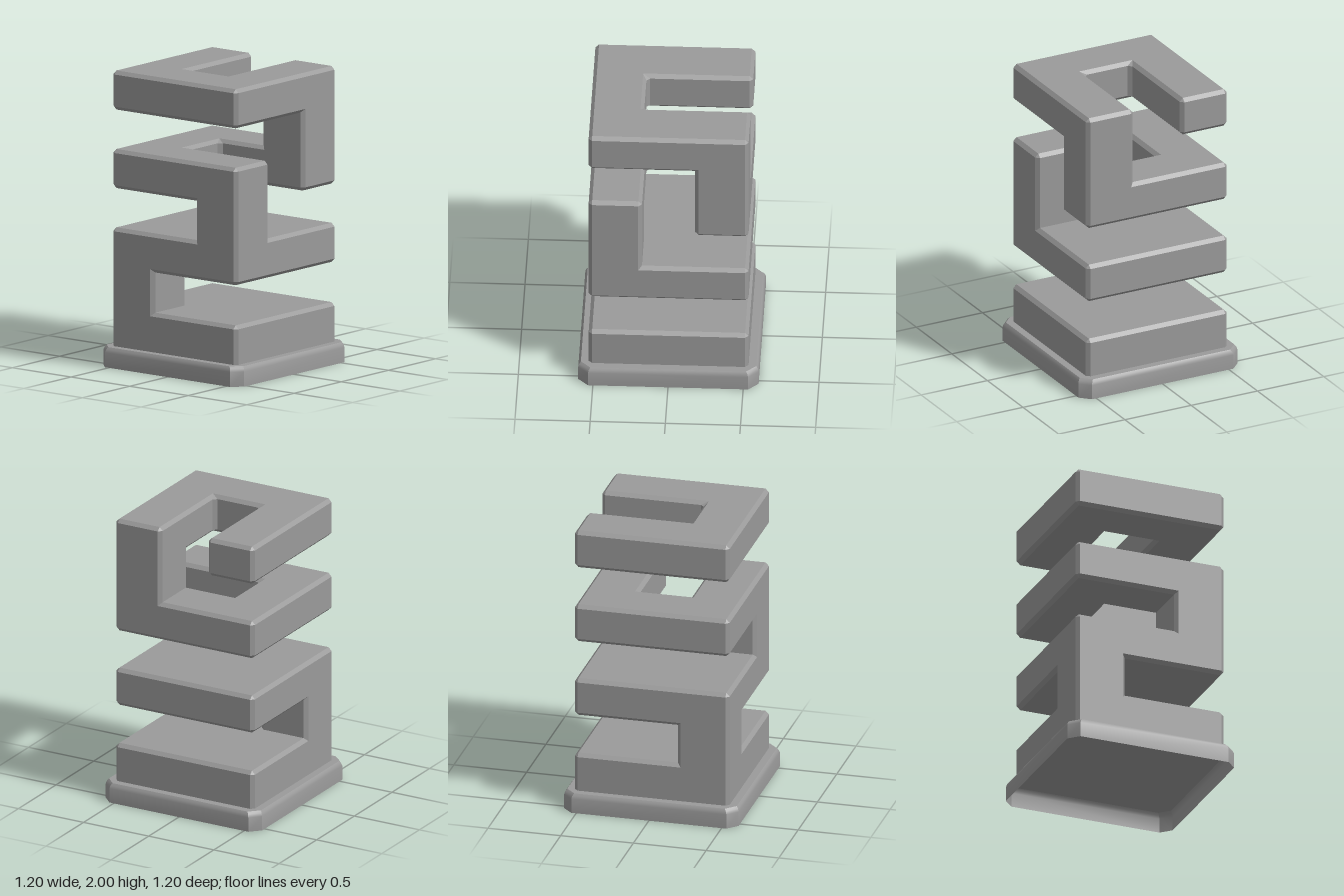
import * as THREE from 'three';
import { toCreasedNormals } from 'three/addons/utils/BufferGeometryUtils.js';

const W = 0.532;       // half width of the tower
const C = 0.177;       // half width of the middle third
const B = 0.024;       // chamfer
const H = 0.265;       // slab thickness
const BASE_TOP = 0.135;
const TOPS = [0.4, 0.937, 1.468, 2];

const material = new THREE.MeshStandardMaterial({ color: 0x9a9a9a });
const shellMaterial = new THREE.MeshStandardMaterial({ color: 0x9a9a9a, side: THREE.DoubleSide });

const rect = (x0, x1, z0, z1) => [[x0, z0], [x1, z0], [x1, z1], [x0, z1]];

// For each corner of a closed [x, z] outline: the corner and its unit directions to both neighbours
function cornersOf(points) {
  const v = points.map(p => new THREE.Vector2(...p));
  return v.map((p, i) => ({
    p,
    toPrev: v.at(i - 1).clone().sub(p).normalize(),
    toNext: v[(i + 1) % v.length].clone().sub(p).normalize(),
  }));
}

// Outline with every corner cut off
const cutCorners = (points, cut) => cornersOf(points).flatMap(({ p, toPrev, toNext }) =>
  [p.clone().addScaledVector(toPrev, cut), p.clone().addScaledVector(toNext, cut)]);

// Right-angled outline moved inwards, corners kept sharp
const inset = (points, d) => cornersOf(points).map(({ p, toPrev, toNext }) => {
  const s = toNext.cross(toPrev) > 0 ? d : -d;
  return p.clone().addScaledVector(toPrev, s).addScaledVector(toNext, s);
});

// Skin between rings of equal length, from the bottom up, plus extra cap triangles
function loft(rings, caps = []) {
  const n = rings[0].outline.length;
  const verts = rings.flatMap(({ outline, y }) => outline.flatMap(p => [p.x, y, p.y]));
  const index = [...caps];
  for (let r = 0; r < rings.length - 1; r++) {
    for (let i = 0; i < n; i++) {
      const a = r * n + i, b = r * n + (i + 1) % n;
      index.push(a, a + n, b, b, a + n, b + n);
    }
  }
  const geo = new THREE.BufferGeometry();
  geo.setAttribute('position', new THREE.Float32BufferAttribute(verts, 3));
  geo.setIndex(index);
  return geo.toNonIndexed();
}

// Upright prism with all edges chamfered, flat where it meets the plinth
function block(name, points, y0, y1) {
  const wall = cutCorners(points, B);
  const sharp = inset(points, B);
  const cap = sharp.flatMap(p => [p, p]);
  const rings = [[cap, y0], [wall, y0 + B], [wall, y1 - B], [cap, y1]]
    .map(([outline, y]) => ({ outline, y: Math.max(y, BASE_TOP) }));
  const top = 3 * wall.length;
  const caps = THREE.ShapeUtils.triangulateShape(sharp, []).flatMap(([i, j, k]) =>
    [2 * i, 2 * j, 2 * k, top + 2 * i, top + 2 * k, top + 2 * j]);
  const geo = loft(rings, caps);
  geo.computeVertexNormals();
  const mesh = new THREE.Mesh(geo, material);
  mesh.name = name;
  return mesh;
}

// Hollow plinth, open underneath: octagonal rings closing at the top centre
function plinth() {
  const octagon = cutCorners(rect(-0.6, 0.6, -0.6, 0.6), 0.067);
  const profile = [[0.6, 0], [0.6, 0.1], [0.594, 0.12], [0.583, BASE_TOP], [0, BASE_TOP]];
  const rings = profile.map(([half, y]) => ({
    outline: octagon.map(p => p.clone().multiplyScalar(half / 0.6)), y,
  }));
  const mesh = new THREE.Mesh(toCreasedNormals(loft(rings), 0.6), shellMaterial);
  mesh.name = 'plinth';
  return mesh;
}

export function createModel() {
  const group = new THREE.Group();
  group.name = 'steppedTower';
  group.add(plinth());

  // Two solid slabs, then two notched ones (open to the front, open to +x)
  const square = rect(-W, W, -W, W);
  const openSide = [[-W, -W], [W, -W], [W, -C], [-C, -C], [-C, C], [W, C], [W, W], [-W, W]];
  const openFront = openSide.map(([x, z]) => [z, x]).reverse();
  const outlines = [square, square, openFront, openSide];
  const bottoms = TOPS.map((t, i) => (i === 0 ? BASE_TOP - B : t - H));
  const names = ['lowestSlab', 'lowerSlab', 'upperSlab', 'topSlab'];
  outlines.forEach((o, i) => group.add(block(names[i], o, bottoms[i], TOPS[i])));

  // Corner posts, each running through the two slabs it joins
  const corners = [[-1, -1], [-1, 1], [1, 1]];
  const span = s => (s < 0 ? [-W, -C] : [C, W]);
  corners.forEach(([sx, sz], i) => {
    const post = rect(...span(sx), ...span(sz));
    group.add(block('cornerPost' + (i + 1), post, bottoms[i], TOPS[i + 1]));
  });
  return group;
}
